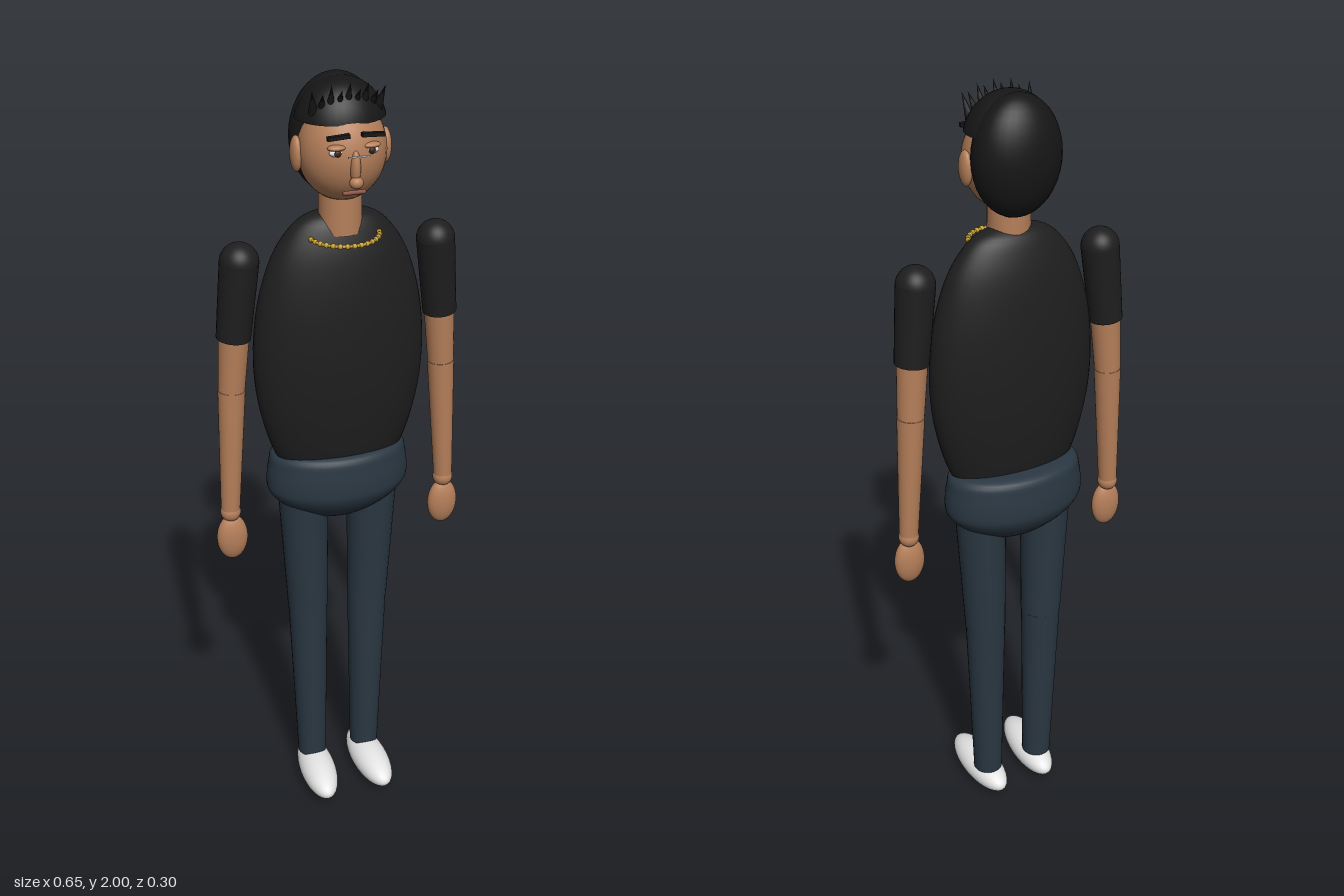
import * as THREE from 'three';

const mat = (name, color, side = THREE.FrontSide) => {
  const m = new THREE.MeshStandardMaterial({ color, side });
  m.name = name;
  return m;
};

export function createModel() {
  const root = new THREE.Group();
  root.name = 'standingFigure';
  const skin = mat('skin', 0xb57f5a);
  const shirt = mat('shirtBlack', 0x1e1e1e);
  const denim = mat('denim', 0x2a3742);
  const hair = mat('hair', 0x161616, THREE.DoubleSide);
  const gold = mat('gold', 0xc9a02c);
  const white = mat('shoeWhite', 0xe6e6e6);
  const iris = mat('iris', 0x3a2418);
  const lip = mat('lip', 0x8a4f40);

  const add = (name, geo, material, x = 0, y = 0, z = 0, parent = root) => {
    const m = new THREE.Mesh(geo, material);
    m.name = name;
    m.position.set(x, y, z);
    parent.add(m);
    return m;
  };
  // Ellipsoid with radii r centred at p
  const ball = (name, material, p, r, parent = root) => {
    const g = new THREE.SphereGeometry(1, 32, 20).scale(...r);
    return add(name, g, material, ...p, parent);
  };
  // Tapered limb segment from a (radius ra) to b (radius rb)
  const limb = (name, material, a, b, ra, rb, parent = root) => {
    const A = new THREE.Vector3(...a), B = new THREE.Vector3(...b);
    const dir = A.clone().sub(B);
    const m = add(name, new THREE.CylinderGeometry(ra, rb, dir.length(), 28), material, 0, 0, 0, parent);
    m.position.copy(A).add(B).multiplyScalar(0.5);
    m.quaternion.setFromUnitVectors(new THREE.Vector3(0, 1, 0), dir.normalize());
    return m;
  };
  // Turned body section, flattened front to back
  const body = (name, material, profile, depth, z) => {
    const curve = new THREE.SplineCurve(profile.map(p => new THREE.Vector2(...p)));
    const pts = curve.getPoints(40).map(p => p.setX(Math.max(p.x, 0)));
    return add(name, new THREE.LatheGeometry(pts, 48).scale(1, 1, depth), material, 0, 0, z);
  };

  // Torso and hips
  body('torso', shirt, [[0, 1.0], [0.12, 1.02], [0.165, 1.06], [0.203, 1.19], [0.215, 1.32],
    [0.204, 1.45], [0.174, 1.56], [0.135, 1.63], [0.085, 1.675], [0, 1.695]], 0.456, -0.018);
  body('hips', denim, [[0, 0.855], [0.07, 0.866], [0.14, 0.905], [0.178, 0.943], [0.185, 0.975],
    [0.18, 1.02], [0.166, 1.058], [0.1, 1.068], [0, 1.07]], 0.63, -0.031);

  // Neck and chain
  limb('neck', skin, [0, 1.78, -0.005], [0, 1.64, -0.005], 0.05, 0.052);
  const chain = new THREE.Group();
  chain.name = 'neckChain';
  chain.position.set(0, 1.637, 0.018);
  root.add(chain);
  add('chainRing', new THREE.TorusGeometry(0.084, 0.004, 8, 48).rotateX(Math.PI / 2), gold, 0, 0, 0, chain);
  for (let i = 0; i < 32; i++) {
    const a = i / 32 * Math.PI * 2;
    add('chainBead', new THREE.SphereGeometry(0.0065, 10, 6), gold,
      Math.cos(a) * 0.084, 0, Math.sin(a) * 0.084, chain);
  }

  // Head and face
  const head = new THREE.Group();
  head.name = 'head';
  root.add(head);
  ball('skull', skin, [0, 1.838, 0.008], [0.103, 0.118, 0.1], head);
  ball('noseBridge', skin, [0, 1.822, 0.103], [0.012, 0.04, 0.016], head);
  ball('noseTip', skin, [0, 1.79, 0.112], [0.016, 0.014, 0.014], head);
  add('browBridge', new THREE.BoxGeometry(0.05, 0.003, 0.004), white, 0, 1.855, 0.13, head);
  const mouth = add('mouth', new THREE.CapsuleGeometry(0.005, 0.046, 4, 10).rotateZ(Math.PI / 2),
    lip, 0, 1.763, 0.098, head);
  mouth.scale.y = 1.1;
  for (const s of [-1, 1]) {
    ball('ear', skin, [s * 0.106, 1.833, 0], [0.014, 0.042, 0.024], head);
    ball('eyeWhite', white, [s * 0.04, 1.857, 0.094], [0.018, 0.009, 0.009], head);
    ball('iris', iris, [s * 0.04, 1.857, 0.101], [0.008, 0.008, 0.005], head);
    ball('upperEyelid', skin, [s * 0.04, 1.868, 0.094], [0.022, 0.007, 0.013], head);
    const brow = add('eyebrow', new THREE.BoxGeometry(0.052, 0.009, 0.012), hair, s * 0.04, 1.895, 0.106, head);
    brow.rotation.z = -s * 0.05;
  }

  // Hair: crown cap, back volume and forelock spikes
  const cap = new THREE.SphereGeometry(1, 36, 20, 0, Math.PI * 2, 0, 1.32).scale(0.109, 0.116, 0.094);
  add('hairCrown', cap, hair, 0, 1.882, -0.007, head);
  ball('hairBack', hair, [0, 1.858, -0.043], [0.109, 0.142, 0.078], head);
  for (let i = 0; i < 9; i++) {
    const t = i / 4 - 1;
    const spike = add('hairSpike', new THREE.ConeGeometry(0.013, 0.065, 8), hair,
      t * 0.08, 1.972 - t * t * 0.014 - (i % 2) * 0.008, 0.057 - t * t * 0.012, head);
    spike.rotation.set(0.4 + (i % 2) * 0.25, 0, -t * 0.15);
  }

  // Arms and legs, mirrored
  for (const s of [-1, 1]) {
    const arm = new THREE.Group(), leg = new THREE.Group();
    arm.name = s > 0 ? 'leftArm' : 'rightArm';
    leg.name = s > 0 ? 'leftLeg' : 'rightLeg';
    root.add(arm, leg);

    ball('shoulder', shirt, [s * 0.243, 1.585, -0.013], [0.047, 0.047, 0.047], arm);
    limb('sleeve', shirt, [s * 0.243, 1.585, -0.013], [s * 0.262, 1.393, -0.019], 0.047, 0.042, arm);
    limb('upperArm', skin, [s * 0.26, 1.41, -0.019], [s * 0.271, 1.255, -0.022], 0.038, 0.033, arm);
    ball('elbow', skin, [s * 0.271, 1.252, -0.022], [0.033, 0.033, 0.033], arm);
    limb('forearm', skin, [s * 0.271, 1.255, -0.022], [s * 0.287, 0.92, -0.018], 0.034, 0.024, arm);
    ball('wrist', skin, [s * 0.287, 0.915, -0.018], [0.026, 0.026, 0.026], arm);
    ball('hand', skin, [s * 0.286, 0.842, -0.014], [0.04, 0.064, 0.024], arm);

    limb('thigh', denim, [s * 0.093, 0.95, -0.028], [s * 0.083, 0.58, -0.031], 0.065, 0.053, leg);
    limb('shin', denim, [s * 0.083, 0.58, -0.031], [s * 0.077, 0.08, -0.027], 0.052, 0.039, leg);
    const foot = ball('shoe', white, [s * 0.077, 0.047, 0.022], [0.049, 0.043, 0.127], leg);
    foot.rotation.y = s * 0.05;
  }
  return root;
}
